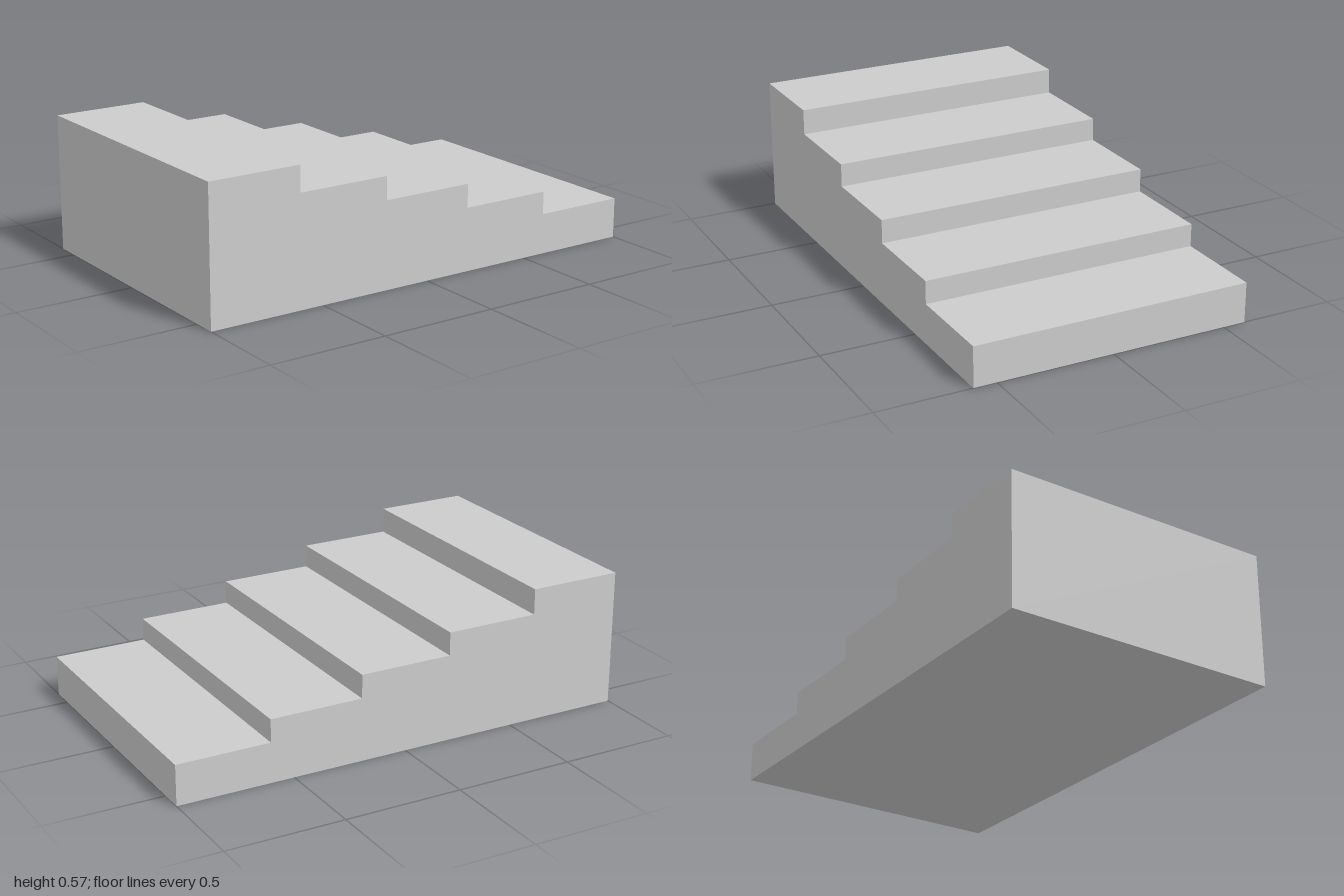
import * as THREE from 'three';

// Solid flight of five wide steps, descending from -x to +x
export function createModel() {
  const group = new THREE.Group();
  group.name = 'steps';

  const heights = [0.575, 0.466, 0.368, 0.268, 0.171];
  const tread = 2 / heights.length;
  const depth = 1.196;

  // Stepped side profile, counter-clockwise from the bottom corners
  const profile = new THREE.Shape();
  profile.moveTo(-1, 0);
  profile.lineTo(1, 0);
  for (let i = heights.length - 1; i >= 0; i--) {
    const left = -1 + i * tread;
    profile.lineTo(left + tread, heights[i]);
    profile.lineTo(left, heights[i]);
  }
  profile.closePath();

  const geometry = new THREE.ExtrudeGeometry(profile, { depth, bevelEnabled: false });
  geometry.translate(0, 0, -depth / 2);

  const staircase = new THREE.Mesh(
    geometry,
    new THREE.MeshStandardMaterial({ color: 0xcccccc, flatShading: true })
  );
  staircase.name = 'staircase';
  group.add(staircase);
  return group;
}
